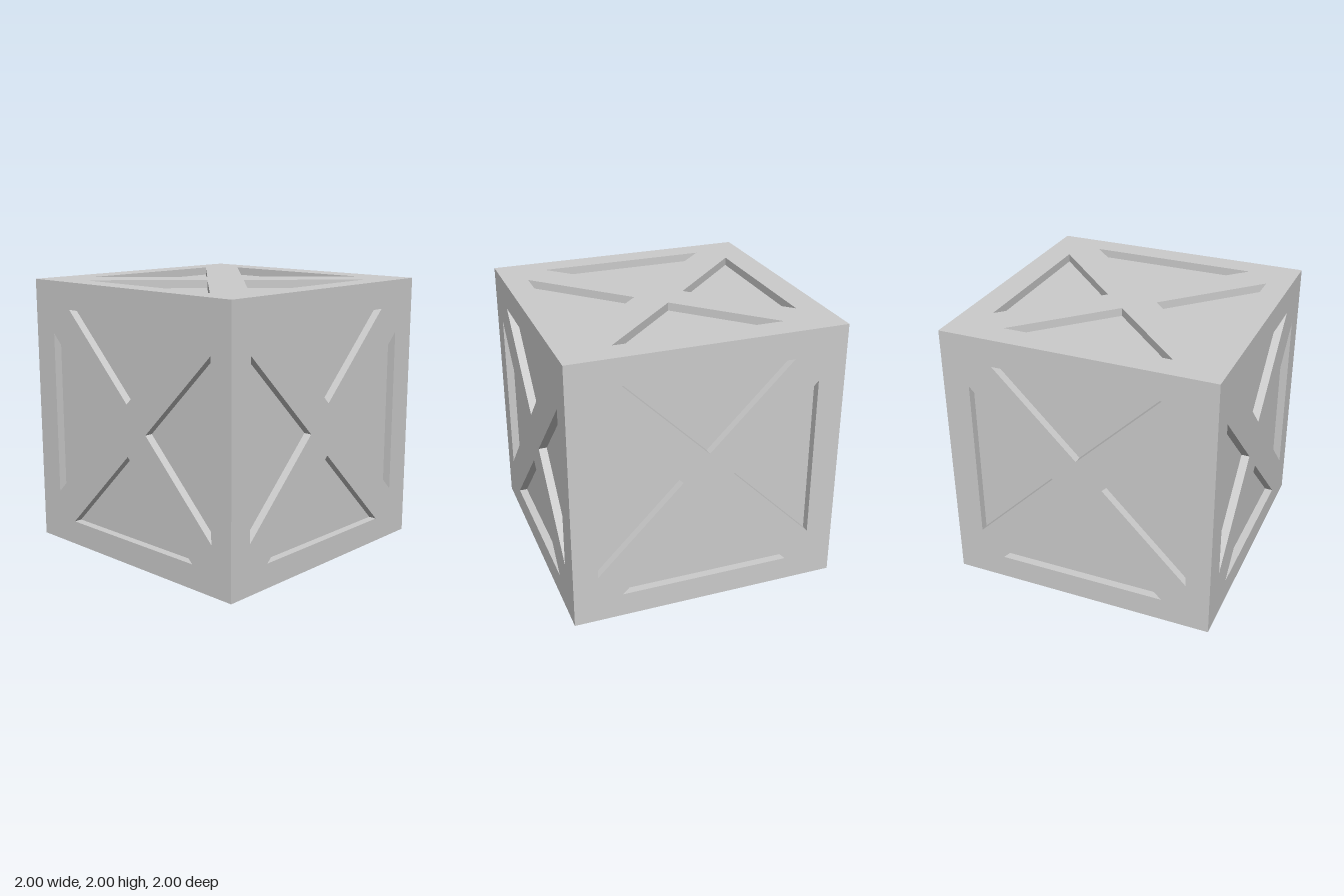
import * as THREE from 'three';

const DEPTH = 0.06;

// Triangular recesses of one side, centred on the face, counter-clockwise
const RECESSES = {
  upperRecess: [[-0.61, 0.8], [0, 0.19], [0.62, 0.8]],
  lowerRecess: [[-0.63, -0.82], [0.64, -0.82], [0, -0.19]],
  innerRecess: [[-0.8, 0.61], [-0.8, -0.615], [-0.185, 0]],
  outerRecess: [[0.82, 0.63], [0.19, 0], [0.82, -0.635]],
};

const material = new THREE.MeshStandardMaterial({ color: 0xcccccc, flatShading: true });

function addMesh(parent, name, geometry) {
  const mesh = new THREE.Mesh(geometry, material);
  mesh.name = name;
  parent.add(mesh);
  return mesh;
}

// Sunken pan: a floor triangle and a wall along each edge
function recessGeometry(corners) {
  const top = corners.map(([x, y]) => [x, y, 1]);
  const floor = corners.map(([x, y]) => [x, y, 1 - DEPTH]);
  const triangles = [...floor];
  for (let i = 0; i < 3; i++) {
    const j = (i + 1) % 3;
    triangles.push(top[i], top[j], floor[j], top[i], floor[j], floor[i]);
  }
  const geometry = new THREE.BufferGeometry();
  geometry.setAttribute('position', new THREE.Float32BufferAttribute(triangles.flat(), 3));
  geometry.computeVertexNormals();
  return geometry;
}

// One side of the crate: border and diagonal braces around four recesses
function createSide(name, mirrored) {
  const side = new THREE.Group();
  side.name = name;
  const square = [[-1, -1], [1, -1], [1, 1], [-1, 1]];
  const toPoints = (list) => list.map(([x, y]) => new THREE.Vector2(x, y));
  const frame = new THREE.Shape(toPoints(square));
  for (const [recessName, points] of Object.entries(RECESSES)) {
    const corners = mirrored ? points.map(([x, y]) => [-x, y]).reverse() : points;
    frame.holes.push(new THREE.Path(toPoints(corners)));
    addMesh(side, recessName, recessGeometry(corners));
  }
  addMesh(side, 'crossBracedFrame', new THREE.ShapeGeometry(frame)).position.z = 1;
  return side;
}

export function createModel() {
  const crate = new THREE.Group();
  crate.name = 'crate';
  const quarter = Math.PI / 2;

  // Opposite sides mirror each other; the lid matches the front
  const sides = [
    ['frontSide', 0, 0, false],
    ['rightSide', 0, quarter, true],
    ['backSide', 0, 2 * quarter, true],
    ['leftSide', 0, -quarter, false],
    ['lid', -quarter, 0, false],
  ];
  for (const [name, tilt, turn, mirrored] of sides) {
    const side = createSide(name, mirrored);
    side.rotation.set(tilt, turn, 0);
    side.position.y = 1;
    crate.add(side);
  }

  // Plain underside
  addMesh(crate, 'bottom', new THREE.PlaneGeometry(2, 2)).rotation.x = quarter;
  return crate;
}
